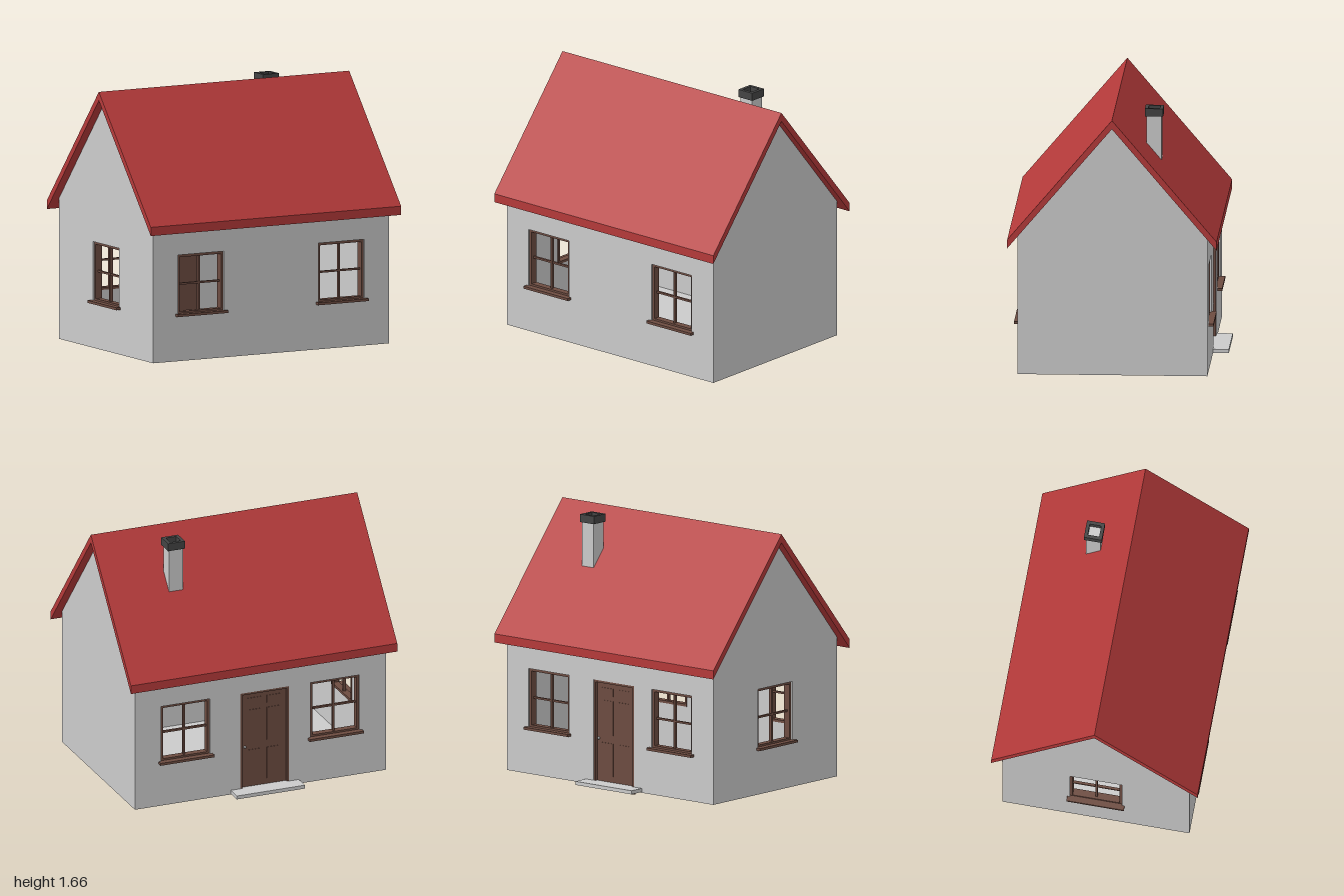
import * as THREE from 'three';

const grey = new THREE.MeshStandardMaterial({ color: 0xcccccc, flatShading: true });
const red = new THREE.MeshStandardMaterial({ color: 0xb53a3a, flatShading: true });
const brown = new THREE.MeshStandardMaterial({ color: 0x6d4c41, flatShading: true });
const dark = new THREE.MeshStandardMaterial({ color: 0x444444, flatShading: true });

const HX = 0.848, HZ = 0.594, T = 0.05;         // wall half sizes and thickness
const BASE = 0.025, EAVE = 0.911, APEX = 1.61;  // wall heights
const WIN = { w: 0.33, y0: 0.32, y1: 0.695 };
const DOOR = { x: 0.03, w: 0.33, top: 0.695 };

function add(parent, name, geo, mat) {
  const m = new THREE.Mesh(geo, mat);
  m.name = name;
  parent.add(m);
  return m;
}

// Box given by its minimum and maximum corners
function box(parent, name, mat, [x0, y0, z0], [x1, y1, z1]) {
  const geo = new THREE.BoxGeometry(x1 - x0, y1 - y0, z1 - z0);
  geo.translate((x0 + x1) / 2, (y0 + y1) / 2, (z0 + z1) / 2);
  return add(parent, name, geo, mat);
}

function shapeOf(points) {
  return new THREE.Shape(points.map(([x, y]) => new THREE.Vector2(x, y)));
}

function rectPath(x0, y0, x1, y1) {
  return new THREE.Path([[x0, y0], [x0, y1], [x1, y1], [x1, y0]].map(p => new THREE.Vector2(...p)));
}

function extrude(shape, depth, z) {
  return new THREE.ExtrudeGeometry(shape, { depth, bevelEnabled: false }).translate(0, 0, z);
}

// Frame, glazing bars and sill, with z = 0 at the outer wall face
function makeWindow(x) {
  const g = new THREE.Group();
  g.name = 'window';
  g.position.x = x;
  const h = WIN.w / 2, { y0, y1 } = WIN, f = 0.016, b = 0.006, mid = (y0 + y1) / 2;
  const outer = shapeOf([[-h, y0], [h, y0], [h, y1], [-h, y1]]);
  outer.holes.push(rectPath(-h + f, y0 + f, h - f, y1 - f));
  add(g, 'windowFrame', extrude(outer, 0.045, -0.055), brown);
  box(g, 'verticalBar', brown, [-b, y0 + f, -0.045], [b, y1 - f, -0.025]);
  box(g, 'horizontalBar', brown, [-h + f, mid - b, -0.043], [h - f, mid + b, -0.027]);
  box(g, 'windowSill', brown, [-0.182, y0 - 0.012, -0.015], [0.182, y0 + 0.004, 0.03]);
  return g;
}

// Door frame, leaf with raised panels, knob and doorstep
function makeDoor() {
  const g = new THREE.Group();
  g.name = 'door';
  g.position.x = DOOR.x;
  const h = DOOR.w / 2, f = 0.014, top = DOOR.top;
  const frame = shapeOf([[-h, BASE], [-h + f, BASE], [-h + f, top - f], [h - f, top - f],
    [h - f, BASE], [h, BASE], [h, top], [-h, top]]);
  add(g, 'doorFrame', extrude(frame, 0.05, -0.052), brown);
  box(g, 'doorLeaf', brown, [-h + f, 0, -0.032], [h - f, top - f, -0.018]);
  for (const s of [-1, 1]) {
    for (const [y0, y1] of [[0.09, 0.3], [0.35, 0.57], [0.6, 0.65]]) {
      box(g, 'doorPanel', brown, [s * 0.065 - 0.045, y0, -0.018], [s * 0.065 + 0.045, y1, -0.015]);
    }
  }
  const knob = add(g, 'doorKnob', new THREE.SphereGeometry(0.009, 12, 8), grey);
  knob.position.set(-h + f + 0.02, 0.325, -0.009);
  box(g, 'doorstep', grey, [-0.23, 0.03, -0.018], [0.23, 0.053, 0.1]);
  return g;
}

// A wall in its own frame: outline, windows at given x, outer face at distance d
function makeWall(name, outline, windows, d, angle) {
  const g = new THREE.Group();
  g.name = name;
  g.rotation.y = angle;
  const shape = shapeOf(outline);
  for (const x of windows) shape.holes.push(rectPath(x - WIN.w / 2, WIN.y0, x + WIN.w / 2, WIN.y1));
  add(g, name + 'Panel', extrude(shape, T, d - T), grey);
  for (const x of windows) {
    const w = makeWindow(x);
    w.position.z = d;
    g.add(w);
  }
  return g;
}

export function createModel() {
  const model = new THREE.Group();
  model.name = 'house';
  const house = new THREE.Group();
  house.name = 'houseBody';
  house.rotation.y = THREE.MathUtils.degToRad(10);
  model.add(house);

  // Walls: long walls fit between the two gables
  const L = HX - T, d0 = DOOR.x - DOOR.w / 2, d1 = DOOR.x + DOOR.w / 2;
  const plain = [[-L, BASE], [L, BASE], [L, EAVE], [-L, EAVE]];
  const notched = [[-L, BASE], [d0, BASE], [d0, DOOR.top], [d1, DOOR.top], [d1, BASE],
    [L, BASE], [L, EAVE], [-L, EAVE]];
  const gable = [[-HZ, BASE], [HZ, BASE], [HZ, EAVE], [0, APEX], [-HZ, EAVE]];
  house.add(makeWall('frontWall', plain, [-0.505, 0.505], HZ, 0));
  const back = makeWall('backWall', notched, [-0.505, 0.505], HZ, Math.PI);
  const door = makeDoor();
  door.position.z = HZ;
  back.add(door);
  house.add(back);
  house.add(makeWall('leftGable', gable, [], HX, Math.PI / 2));
  house.add(makeWall('rightGable', gable, [0], HX, -Math.PI / 2));
  box(house, 'floor', grey, [-L, BASE, -HZ + T], [L, BASE + 0.012, HZ - T]);
  box(house, 'threshold', grey, [-d1, BASE, -HZ + 0.032], [-d0, BASE + 0.012, -HZ + T]);

  // Roof: an inverted V swept along the ridge
  const R = 0.655;
  const section = shapeOf([[-R, 0.84], [0, APEX], [R, 0.84], [R, 0.895], [0, 1.665], [-R, 0.895]]);
  const roof = add(house, 'roof', extrude(section, 1.8, -0.9), red);
  roof.rotation.y = Math.PI / 2;

  // Chimney with an open cap
  const chimney = new THREE.Group();
  chimney.name = 'chimney';
  chimney.position.set(0.444, 0, -0.242);
  house.add(chimney);
  box(chimney, 'chimneyStack', grey, [-0.047, 1.3, -0.047], [0.047, 1.615, 0.047]);
  const c = 0.057;
  const cap = shapeOf([[-c, -c], [c, -c], [c, c], [-c, c]]);
  cap.holes.push(rectPath(-0.036, -0.036, 0.036, 0.036));
  const capMesh = add(chimney, 'chimneyCap', extrude(cap, 0.05, 0), dark);
  capMesh.rotation.x = -Math.PI / 2;
  capMesh.position.y = 1.605;

  return model;
}
